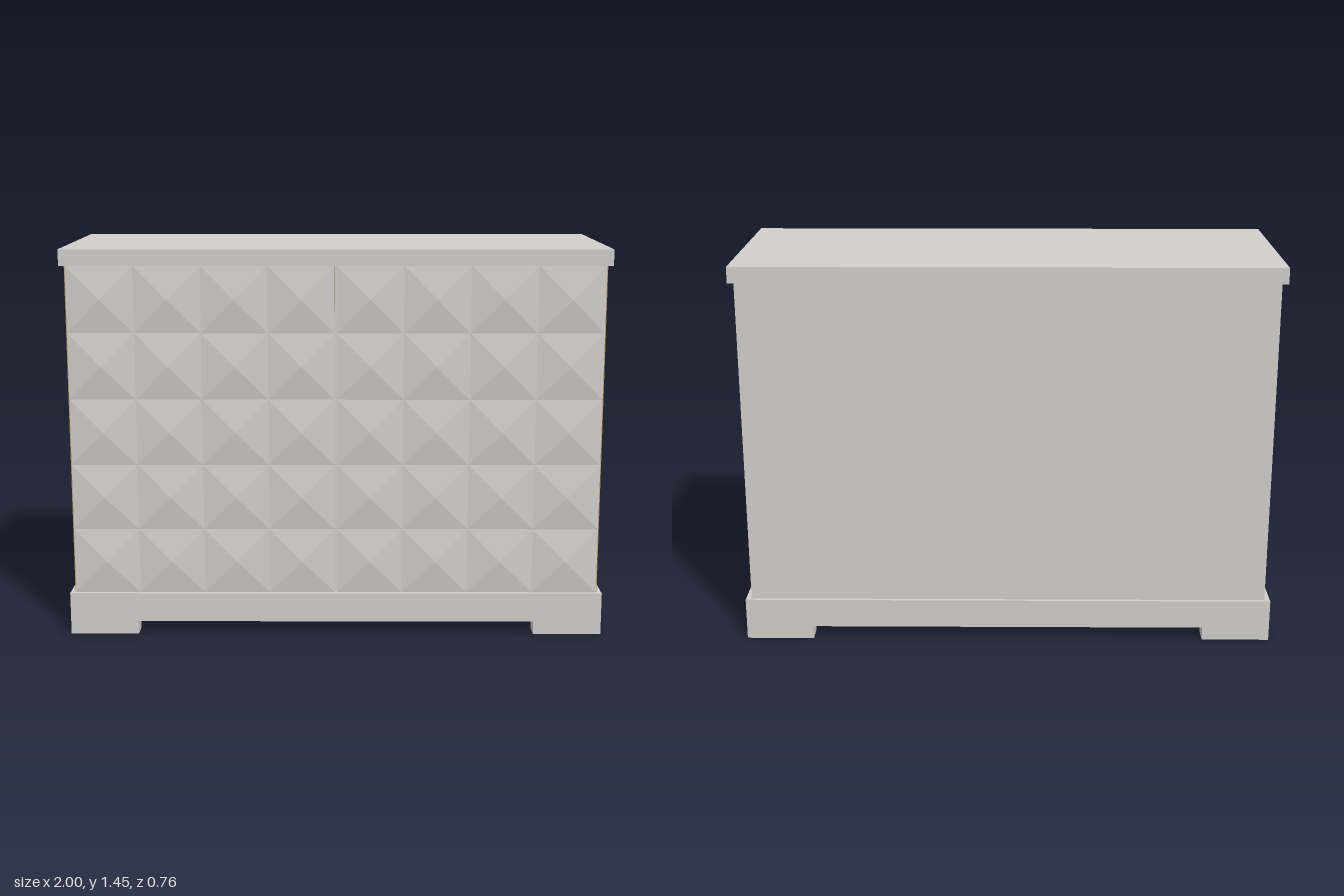
import * as THREE from 'three';

const stone = new THREE.MeshStandardMaterial({ color: 0xd0cfca });
stone.name = 'pale grey';
stone.flatShading = true;
const gold = new THREE.MeshStandardMaterial({ color: 0xb08d4a });
gold.name = 'gold';

// Outer sizes
const HALF_X = 1, HALF_Z = 0.378, BASE_TOP = 0.16, BODY_TOP = 1.39, TOP = 1.45;
const BODY_X = 0.98, BODY_BACK = -0.365, DOOR_BACK = 0.35, DOOR_FACE = 0.361;
const BODY_H = BODY_TOP - BASE_TOP, BODY_Y = (BODY_TOP + BASE_TOP) / 2;

function add(parent, name, geometry, material, x = 0, y = 0, z = 0) {
  const mesh = new THREE.Mesh(geometry, material);
  mesh.name = name;
  mesh.position.set(x, y, z);
  parent.add(mesh);
  return mesh;
}

// Grid of shallow pyramids in the XY plane, peaks toward +z
function studGeometry(width, height, cols, rows, depth) {
  const points = [], w = width / cols, h = height / rows;
  for (let c = 0; c < cols; c++) {
    for (let r = 0; r < rows; r++) {
      const x = -width / 2 + c * w, y = -height / 2 + r * h;
      const corners = [[x, y], [x + w, y], [x + w, y + h], [x, y + h]];
      corners.forEach((a, i) => {
        const b = corners[(i + 1) % 4];
        points.push(...a, 0, ...b, 0, x + w / 2, y + h / 2, depth);
      });
    }
  }
  const geometry = new THREE.BufferGeometry();
  geometry.setAttribute('position', new THREE.Float32BufferAttribute(points, 3));
  geometry.computeVertexNormals();
  return geometry;
}

// Plinth board with a long notch cut from its lower edge
function plinthBoard(halfLength, halfNotch, notchHeight, thickness) {
  const shape = new THREE.Shape([
    [-halfLength, 0], [-halfNotch, 0], [-halfNotch, notchHeight], [halfNotch, notchHeight],
    [halfNotch, 0], [halfLength, 0], [halfLength, BASE_TOP], [-halfLength, BASE_TOP],
  ].map(([x, y]) => new THREE.Vector2(x, y)));
  return new THREE.ExtrudeGeometry(shape, { depth: thickness, bevelEnabled: false })
    .translate(0, 0, -thickness);
}

export function createModel() {
  const model = new THREE.Group();
  model.name = 'sideboard';

  // Hollow plinth
  const plinth = new THREE.Group();
  plinth.name = 'plinth';
  model.add(plinth);
  const wall = 0.07;
  const longBoard = plinthBoard(HALF_X, 0.745, 0.05, wall);
  const shortBoard = plinthBoard(HALF_Z - wall, 0.137, 0.035, wall);
  add(plinth, 'plinthFront', longBoard, stone, 0, 0, HALF_Z);
  add(plinth, 'plinthBack', longBoard, stone, 0, 0, -HALF_Z).rotation.y = Math.PI;
  for (const s of [1, -1]) {
    add(plinth, s > 0 ? 'plinthLeft' : 'plinthRight', shortBoard, stone, s * HALF_X)
      .rotation.y = s * Math.PI / 2;
  }
  add(plinth, 'plinthFloor',
    new THREE.BoxGeometry(2 * (HALF_X - wall), 0.03, 2 * (HALF_Z - wall)), stone, 0, BASE_TOP - 0.015);

  // Cabinet body and top slab
  add(model, 'body', new THREE.BoxGeometry(2 * BODY_X - 0.002, BODY_H, DOOR_BACK - BODY_BACK),
    stone, 0, BODY_Y, (DOOR_BACK + BODY_BACK) / 2);
  add(model, 'topSlab', new THREE.BoxGeometry(2 * HALF_X, TOP - BODY_TOP, 2 * HALF_Z),
    stone, 0, (TOP + BODY_TOP) / 2);

  // Studded doors on gold backing, and studded sides
  const gap = 0.004;
  const doorWidth = BODY_X - gap;
  const doorStuds = studGeometry(doorWidth, BODY_H, 4, 5, HALF_Z - DOOR_FACE - 0.001);
  const doorBacking = new THREE.BoxGeometry(doorWidth + 0.003, BODY_H, DOOR_FACE - DOOR_BACK - 0.001);
  const sideDepth = DOOR_BACK - BODY_BACK;
  const sideStuds = studGeometry(sideDepth, BODY_H, 3, 5, 0.019);
  for (const s of [1, -1]) {
    const side = s > 0 ? 'left' : 'right';
    const doorX = s * (gap + doorWidth / 2);
    add(model, side + 'Door', doorStuds, stone, doorX, BODY_Y, DOOR_FACE);
    add(model, side + 'DoorEdge', doorBacking, gold,
      doorX + s * 0.0015, BODY_Y, (DOOR_FACE + DOOR_BACK - 0.001) / 2);
    add(model, side + 'Side', sideStuds, stone,
      s * BODY_X, BODY_Y, (DOOR_BACK + BODY_BACK) / 2).rotation.y = s * Math.PI / 2;
  }
  return model;
}
